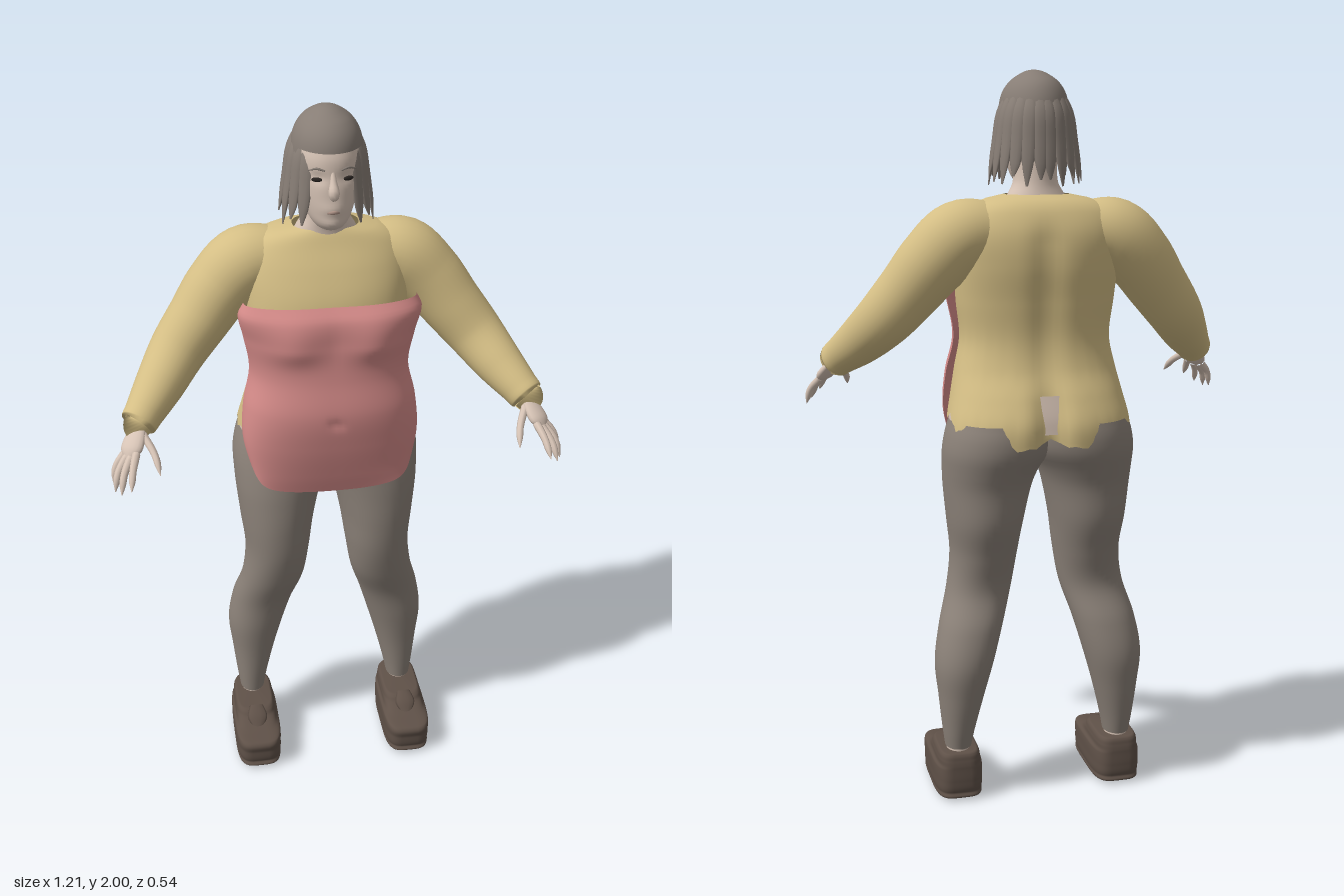
import * as THREE from 'three';

const mat = (name, color, open) => {
  const m = new THREE.MeshStandardMaterial({ color });
  m.name = name;
  if (open) m.side = THREE.DoubleSide;
  return m;
};

const V = (p) => new THREE.Vector3(...p);
const spow = (v, p) => Math.sign(v) * Math.pow(Math.abs(v), p);
const smooth = THREE.MathUtils.smoothstep;
const gauss = (d, w) => Math.exp(-(d * d) / (w * w));

// Smooth lookup in rows of [key, value, value, ...]
function table(rows) {
  return (y) => {
    let i = 0;
    while (i < rows.length - 2 && y > rows[i + 1][0]) i++;
    const a = rows[i], b = rows[i + 1], h = b[0] - a[0];
    const t = THREE.MathUtils.clamp((y - a[0]) / h, 0, 1);
    const p = rows[Math.max(i - 1, 0)], n = rows[Math.min(i + 2, rows.length - 1)];
    return a.slice(1).map((v, k) => {
      const j = k + 1;
      const m0 = ((b[j] - p[j]) / (b[0] - p[0])) * h, m1 = ((n[j] - a[j]) / (n[0] - a[0])) * h;
      const t2 = t * t, t3 = t2 * t;
      return (2 * t3 - 3 * t2 + 1) * v + (t3 - 2 * t2 + t) * m0 + (3 * t2 - 2 * t3) * b[j] + (t3 - t2) * m1;
    });
  };
}

// Smooth surface from fn(u, v); u wraps round when closed
function grid(fn, nu, nv, closed = true) {
  const pos = [], index = [], w = closed ? nu : nu + 1;
  for (let j = 0; j <= nv; j++) for (let i = 0; i < w; i++) pos.push(...fn(i / nu, j / nv));
  for (let j = 0; j < nv; j++) for (let i = 0; i < nu; i++) {
    const a = j * w + i, b = j * w + ((i + 1) % w);
    index.push(a, b, a + w, b, b + w, a + w);
  }
  const g = new THREE.BufferGeometry();
  g.setAttribute('position', new THREE.Float32BufferAttribute(pos, 3));
  g.setIndex(index);
  g.computeVertexNormals();
  return g;
}

// Horizontal rounded ring: x from x0 to x1, z from zb to zf
function ring(a, y, x0, x1, zf, zb, p) {
  return [(x0 + x1) / 2 + ((x1 - x0) / 2) * spow(Math.cos(a), p), y, (zf + zb) / 2 - ((zf - zb) / 2) * spow(Math.sin(a), p)];
}

// Stack of rings with rows [y, halfWidth, zFront, zBack]; low(frontness, angle) sets the lower edge
function stack(rows, { x = 0, p = 1, nu = 48, nv = 40, low, ease, shape } = {}) {
  const at = table(rows), top = rows[rows.length - 1][0];
  return grid((u, v) => {
    const a = u * Math.PI * 2, lo = low ? low(-Math.sin(a), a) : rows[0][0];
    const y = lo + (top - lo) * (ease ? Math.sin((v * Math.PI) / 2) : v);
    const [hw, zf, zb] = at(y);
    const q = ring(a, y, x - hw, x + hw, zf, zb, p);
    if (shape) shape(q, -Math.sin(a));
    return q;
  }, nu, nv);
}

// Tapered limb along a path; radii are spread evenly, flat squashes it across the side axis
function limb(points, radii, { side = [0, 0, 1], flat = 1, nu = 10, nv = 10 } = {}) {
  const curve = new THREE.CatmullRomCurve3(points.map(V));
  const rad = table(radii.map((r, i) => [i / (radii.length - 1), r]));
  return grid((u, v) => {
    const c = curve.getPoint(v), t = curve.getTangent(v), a = u * Math.PI * 2, r = rad(v)[0];
    const e1 = V(side);
    e1.addScaledVector(t, -t.dot(e1)).normalize();
    const e2 = t.clone().cross(e1);
    return c.addScaledVector(e1, r * Math.cos(a)).addScaledVector(e2, r * flat * Math.sin(a)).toArray();
  }, nu, nv);
}

function mirrored(geo) {
  const g = geo.clone().scale(-1, 1, 1), ix = g.index.array;
  for (let i = 0; i < ix.length; i += 3) [ix[i], ix[i + 1]] = [ix[i + 1], ix[i]];
  return g;
}

export function createModel() {
  const model = new THREE.Group();
  const skin = mat('skin', 0xd6c3b5), shirtMat = mat('mustard shirt', 0xd4be85, true), pink = mat('pink top', 0xd58b89, true);
  const trousers = mat('grey trousers', 0x8c8279, true), hair = mat('grey hair', 0x877d75, true);
  const shoeMat = mat('brown shoe', 0x5f5148), dark = mat('dark eye', 0x2a2522), lip = mat('lip', 0xb09488);
  const add = (name, geo, m) => {
    const mesh = new THREE.Mesh(geo, m);
    mesh.name = name;
    model.add(mesh);
  };
  const pair = (name, geo, m) => {
    add(name + 'Left', geo, m);
    add(name + 'Right', mirrored(geo), m);
  };

  // Shirt body with a ragged hem, spine groove and seat cleft
  const torso = [
    [1.0, 0.258, 0.04, -0.276], [1.08, 0.25, 0.06, -0.278], [1.15, 0.235, 0.075, -0.252], [1.22, 0.22, 0.08, -0.218],
    [1.3, 0.205, 0.075, -0.204], [1.4, 0.215, 0.07, -0.212], [1.5, 0.222, 0.055, -0.226], [1.58, 0.222, 0.025, -0.224],
    [1.64, 0.195, -0.005, -0.202], [1.668, 0.145, -0.018, -0.178], [1.68, 0.088, -0.025, -0.15]];
  add('shirtBody', stack(torso, {
    p: 0.86, nu: 96, nv: 60,
    low: (f, a) => 1.032 + 0.07 * smooth(f, -0.9, 0.2) + 0.01 * Math.sin(13 * a) + 0.006 * Math.sin(29 * a),
    shape: (q, f) => {
      if (f < 0) q[2] += (0.012 + 0.02 * (1 - smooth(q[1], 1.08, 1.22))) * gauss(q[0], 0.04) * (1 - smooth(q[1], 1.55, 1.65));
    },
  }), shirtMat);

  // Strip of bare hip between shirt and trousers
  add('hips', stack([[1.06, 0.246, 0.04, -0.255], [1.1, 0.242, 0.05, -0.25], [1.16, 0.225, 0.06, -0.235]], { p: 0.9, nv: 8 }), skin);

  // Pink front panel, rows [y, halfWidth, zFront, zEdge]
  const panel = table([
    [0.94, 0.2, 0.068, 0.06], [1.0, 0.217, 0.085, 0.04], [1.1, 0.242, 0.108, 0.0], [1.2, 0.237, 0.12, -0.02],
    [1.3, 0.217, 0.106, -0.03], [1.4, 0.232, 0.098, -0.02], [1.47, 0.245, 0.095, 0], [1.505, 0.23, 0.072, 0.005]]);
  add('pinkTop', grid((u, v) => {
    const s = u * 2 - 1, th = (s * Math.PI) / 2;
    const lo = 0.945 + 0.045 * s * s + 0.07 * s ** 8, y = lo + (1.505 - lo) * v;
    const [hw, zf, ze] = panel(y), x = hw * spow(Math.sin(th), 0.85);
    const bust = 0.02 * gauss(Math.abs(x) - 0.11, 0.075) * gauss(y - 1.4, y < 1.4 ? 0.045 : 0.08);
    const navel = 0.006 * gauss(x, 0.015) * gauss(y - 1.18, 0.015);
    return [x, y, ze + (zf - ze) * Math.pow(Math.max(Math.cos(th), 0), 0.8) + bust - navel];
  }, 64, 60, false), pink);

  // Trouser legs, rows [y, xInner, xOuter, zFront, zBack]
  const legRows = [
    [0.15, 0.195, 0.268, -0.06, -0.155], [0.2, 0.185, 0.275, -0.055, -0.168], [0.3, 0.16, 0.286, -0.045, -0.19],
    [0.4, 0.132, 0.295, -0.03, -0.205], [0.5, 0.103, 0.28, -0.015, -0.19], [0.6, 0.072, 0.252, 0.02, -0.158],
    [0.7, 0.055, 0.24, 0.045, -0.18], [0.8, 0.04, 0.25, 0.055, -0.215], [0.9, 0.018, 0.26, 0.055, -0.228],
    [0.95, 0.0, 0.263, 0.053, -0.245], [1.0, -0.03, 0.264, 0.05, -0.264], [1.05, -0.04, 0.256, 0.045, -0.268],
    [1.085, -0.04, 0.245, 0.04, -0.262]];
  const leg = table(legRows);
  pair('trouserLeg', grid((u, v) => {
    const y = 0.15 + 0.935 * v;
    return ring(u * Math.PI * 2, y, ...leg(y), 0.95);
  }, 40, 60), trousers);
  pair('ankle', stack([[0.12, 0.033, -0.065, -0.148], [0.2, 0.033, -0.065, -0.15]], { x: 0.232, nu: 20, nv: 2 }), skin);

  // Chunky shoes
  pair('shoe', stack([
    [0, 0, -0.02, -0.03], [0.003, 0.055, 0.105, -0.145], [0.025, 0.067, 0.124, -0.165], [0.06, 0.069, 0.128, -0.17],
    [0.095, 0.068, 0.125, -0.17], [0.105, 0.062, 0.075, -0.17], [0.12, 0.06, 0.035, -0.168], [0.138, 0.054, 0.015, -0.163],
    [0.143, 0.04, -0.01, -0.15], [0.144, 0, -0.1, -0.11]], { x: 0.231, p: 0.5, nv: 60 }), shoeMat);
  pair('shoeTongue', limb([[0.231, 0.105, 0.06], [0.231, 0.125, 0.035], [0.231, 0.145, 0.005]], [0.015, 0.03, 0.02], { side: [1, 0, 0], flat: 0.3 }), shoeMat);

  // Sleeves
  pair('sleeve', limb(
    [[0.12, 1.583, -0.11], [0.21, 1.572, -0.11], [0.28, 1.51, -0.1], [0.342, 1.432, -0.077], [0.405, 1.355, -0.045],
      [0.46, 1.29, 0.02], [0.505, 1.243, 0.08], [0.525, 1.222, 0.105], [0.524, 1.223, 0.104]],
    [0.08, 0.096, 0.093, 0.085, 0.077, 0.066, 0.053, 0.045, 0.01], { nu: 28, nv: 48 }), shirtMat);

  // Hands: palm, four fingers and thumb
  const across = [0.6, 0, -0.6];
  pair('palm', limb([[0.505, 1.245, 0.085], [0.527, 1.212, 0.12], [0.545, 1.18, 0.155], [0.558, 1.158, 0.18]],
    [0.022, 0.021, 0.031, 0.03, 0.004], { side: across, flat: 0.5, nu: 16, nv: 14 }), skin);
  const fingers = [
    ['thumb', [0.515, 1.205, 0.13], [0.488, 1.172, 0.185], [0.477, 1.135, 0.232]],
    ['indexFinger', [0.535, 1.175, 0.18], [0.547, 1.15, 0.228], [0.554, 1.115, 0.27]],
    ['middleFinger', [0.55, 1.165, 0.178], [0.57, 1.135, 0.215], [0.58, 1.094, 0.247]],
    ['ringFinger', [0.56, 1.162, 0.165], [0.585, 1.13, 0.193], [0.596, 1.086, 0.214]],
    ['littleFinger', [0.564, 1.165, 0.15], [0.589, 1.135, 0.163], [0.6, 1.092, 0.175]]];
  for (const [name, ...path] of fingers) pair(name, limb(path, [0.011, 0.0105, 0.0095, 0.0085, 0.001], { side: across, nu: 8 }), skin);

  // Neck and head
  add('neck', stack([[1.63, 0.1, -0.02, -0.16], [1.68, 0.076, -0.018, -0.145], [1.71, 0.06, -0.01, -0.14], [1.78, 0.058, 0, -0.14]], { nu: 28, nv: 12 }), skin);
  add('head', stack([
    [1.695, 0, 0.0, -0.02], [1.703, 0.03, 0.035, -0.07], [1.72, 0.048, 0.054, -0.1], [1.75, 0.063, 0.06, -0.13], [1.8, 0.075, 0.061, -0.15],
    [1.85, 0.081, 0.056, -0.16], [1.9, 0.082, 0.05, -0.16], [1.95, 0.065, 0.02, -0.14], [1.98, 0, -0.05, -0.06]], {
    p: 0.92, shape: (q, f) => {
      // Eye sockets, cheeks and chin
      if (f < 0.2) return;
      q[2] += -0.007 * gauss(Math.abs(q[0]) - 0.037, 0.02) * gauss(q[1] - 1.845, 0.014)
        + 0.005 * gauss(q[0], 0.025) * gauss(q[1] - 1.725, 0.014) + 0.005 * gauss(q[0], 0.03) * gauss(q[1] - 1.765, 0.018);
    },
  }), skin);
  add('nose', limb([[0, 1.86, 0.05], [0, 1.83, 0.062], [0, 1.806, 0.07], [0, 1.794, 0.058]], [0.006, 0.009, 0.014, 0.012, 0.002], { side: [1, 0, 0] }), skin);
  pair('eye', new THREE.SphereGeometry(1, 16, 10).scale(0.014, 0.006, 0.004).rotateY(0.35).translate(0.04, 1.842, 0.044), dark);
  pair('eyebrow', limb([[0.02, 1.866, 0.0535], [0.04, 1.871, 0.047], [0.06, 1.864, 0.036]], [0.002, 0.003, 0.001], { nu: 6 }), hair);
  add('mouth', limb([[-0.026, 1.757, 0.054], [0, 1.761, 0.066], [0.026, 1.757, 0.054]], [0.001, 0.005, 0.001], { side: [0, 1, 0], flat: 0.6 }), lip);

  // Hair cap, open over the face
  add('hairCap', stack([
    [1.74, 0.086, 0.03, -0.155], [1.8, 0.092, 0.045, -0.168], [1.85, 0.094, 0.055, -0.174], [1.9, 0.092, 0.06, -0.173],
    [1.94, 0.083, 0.05, -0.162], [1.97, 0.063, 0.025, -0.14], [1.99, 0.035, -0.012, -0.103], [1.998, 0.015, -0.037, -0.075],
    [2.0, 0, -0.055, -0.056]], { ease: true, nu: 64, low: (f) => 1.765 + 0.145 * smooth(f, -0.05, 0.5) }), hair);

  // Hanging strands round the sides and back
  for (let i = 0; i < 9; i++) {
    const a = THREE.MathUtils.degToRad(-52 + i * 17), c = Math.cos(a), s = Math.sin(a);
    const at = (rx, rz, y) => [rx * c, y, -0.07 - rz * s];
    const end = 1.715 + 0.014 * Math.sin(i * 2.4);
    pair('hairStrand' + (i + 1), limb(
      [at(0.07, 0.08, 1.945), at(0.094, 0.105, 1.89), at(0.106, 0.112, 1.82), at(0.116, 0.116, 1.76), at(0.124, 0.118, end)],
      [0.01, 0.019, 0.019, 0.015, 0.003], { side: [-s, 0, -c], flat: 0.4, nu: 10, nv: 16 }), hair);
  }

  return model;
}
